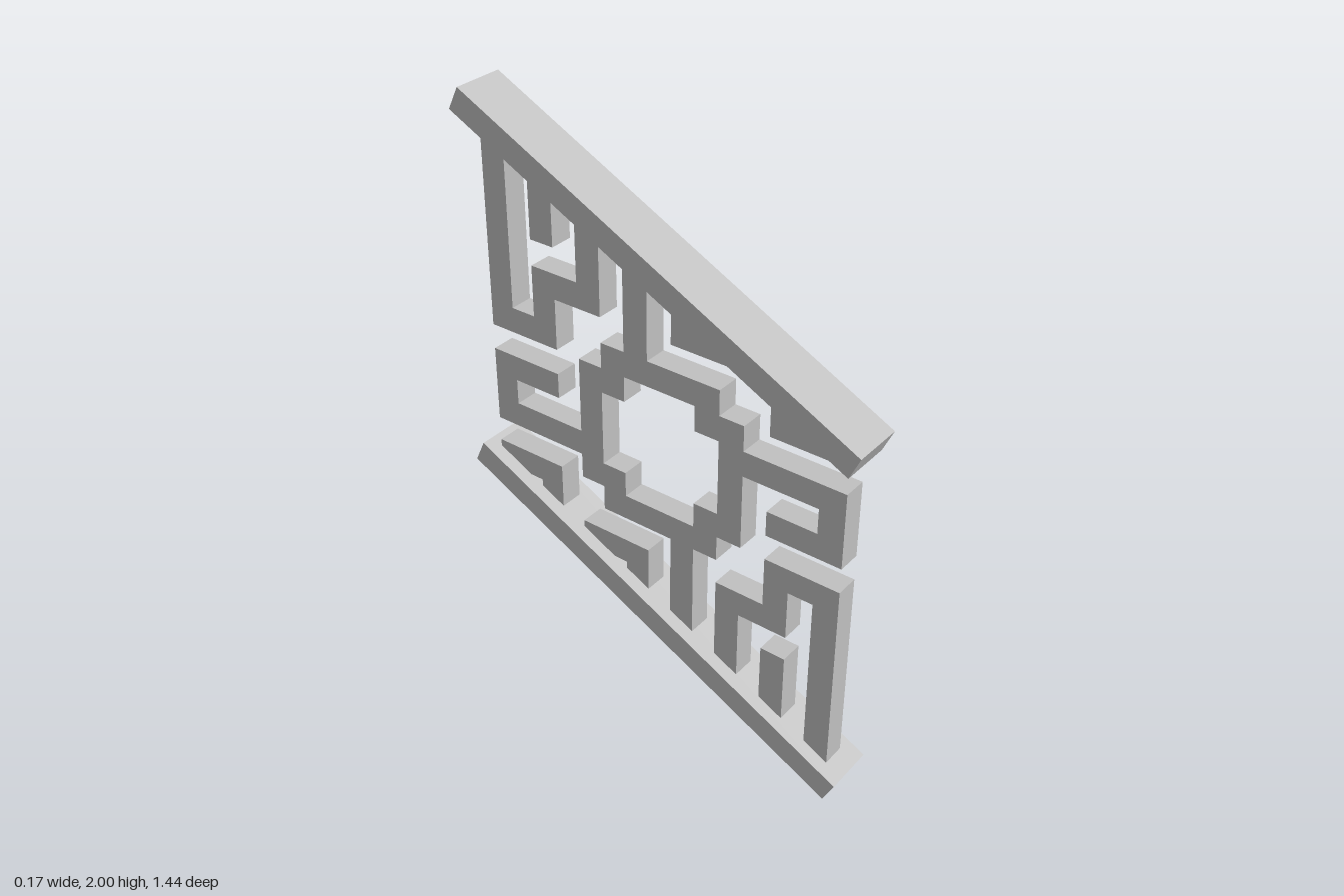
import * as THREE from 'three';

const U = 0.0872;          // width of one lattice bar
const LATTICE_X = 0.04;    // half thickness of the lattice
const RAIL_X = 0.087;      // half width of the rails

// Grid column/row to profile plane; u runs towards the back (-z)
const toU = (k) => (k - 7.5) * U - 0.006;
const toY = (r) => 1 + (r - 3.5) * 0.0868;
// Grid row just inside the sloping upper rail
const R = (k) => 6.636 + 0.5 * k;

export function createModel() {
  const grey = new THREE.MeshStandardMaterial({ color: 0xc0c0c0 });
  grey.name = 'grey';
  const model = new THREE.Group();
  model.name = 'slopedBalustradePanel';

  const path = (pts) => pts.map(([u, y]) => new THREE.Vector2(u, y));
  const grid = (pts) => path(pts.map(([k, r]) => [toU(k), toY(r)]));

  // Extrudes a side profile across the thickness of the panel
  function addProfile(name, shape, halfX) {
    const geo = new THREE.ExtrudeGeometry(shape, { depth: halfX * 2, bevelEnabled: false });
    geo.translate(0, 0, -halfX);
    geo.rotateY(Math.PI / 2);
    const mesh = new THREE.Mesh(geo, grey);
    mesh.name = name;
    model.add(mesh);
  }

  // Sloping rails above and below
  const rail = [[-0.685, 1.222], [0.72, 1.925], [0.682, 2.0], [-0.72, 1.298]];
  addProfile('topRail', new THREE.Shape(path(rail)), RAIL_X);
  addProfile('bottomRail', new THREE.Shape(path(rail.map(([u, y]) => [-u, 2 - y]))), RAIL_X);

  // Stepped central ring
  const ring = new THREE.Shape(grid([
    [5, 0], [10, 0], [10, 1], [11, 1], [11, 6], [10, 6],
    [10, 7], [5, 7], [5, 6], [4, 6], [4, 1], [5, 1],
  ]));
  ring.holes.push(new THREE.Path(grid([
    [6, 1], [6, 2], [5, 2], [5, 5], [6, 5], [6, 6],
    [9, 6], [9, 5], [10, 5], [10, 2], [9, 2], [9, 1],
  ])));
  addProfile('centreRing', ring, LATTICE_X);

  // Fretwork pieces, each repeated by a half turn about the centre
  const hook = [[0, 6], [3, 6], [3, R(3)], [2, R(2)], [2, 7], [1, 7], [0, R(0)]];
  const pieces = {
    lowHook: hook,
    highHook: hook.map(([k, r]) => [k + 4, r + 2]),
    centrePost: [[8, 7], [9, 7], [9, R(9)], [8, R(8)]],
    steppedFret: [
      [10, 8], [12, 8], [12, 6], [15, 6], [15, R(15)], [14, R(14)], [14, 7],
      [13, 7], [13, 9], [11, 9], [11, R(11)], [10, R(10)],
    ],
    hangingPost: [[12, 10], [13, 10], [13, R(13)], [12, R(12)]],
    sideArm: [[0, 2], [3, 2], [3, 3], [1, 3], [1, 4], [4, 4], [4, 5], [0, 5]],
  };
  for (const [name, pts] of Object.entries(pieces)) {
    addProfile(name, new THREE.Shape(grid(pts)), LATTICE_X);
    const turned = pts.map(([k, r]) => [15 - k, 7 - r]);
    addProfile(name + 'Turned', new THREE.Shape(grid(turned)), LATTICE_X);
  }
  return model;
}
